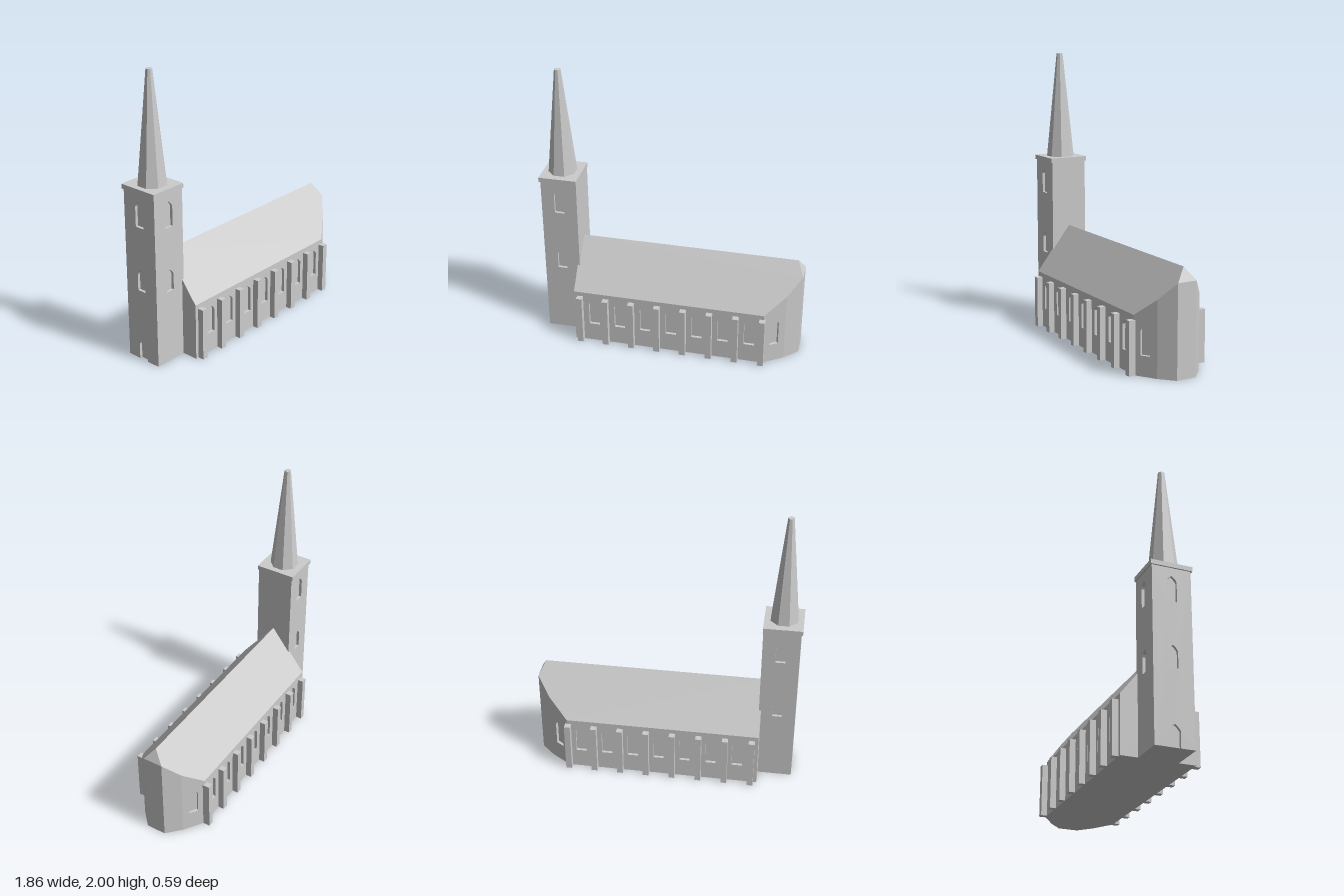
import * as THREE from 'three';
import { toCreasedNormals } from 'three/addons/utils/BufferGeometryUtils.js';

const stone = new THREE.MeshStandardMaterial({ color: 0xcccccc });
stone.name = 'stone';

const RIDGE = 0.73, SLOPE = 0.33 / 0.255, RECESS = 0.02;
const roofHeight = (z) => RIDGE - Math.abs(z) * SLOPE;

function add(parent, name, geometry, x = 0, y = 0, z = 0) {
  const mesh = new THREE.Mesh(geometry, stone);
  mesh.name = name;
  mesh.position.set(x, y, z);
  parent.add(mesh);
  return mesh;
}

// Pointed-arch opening; u is its centre along the wall
function arch({ u, y0, y1, y2, w }) {
  const h = w / 2, s = new THREE.Shape();
  s.moveTo(u - h, y0);
  s.lineTo(u + h, y0);
  s.lineTo(u + h, y1);
  s.quadraticCurveTo(u + h * 0.75, y1 + (y2 - y1) * 0.55, u, y2);
  s.quadraticCurveTo(u - h * 0.75, y1 + (y2 - y1) * 0.55, u - h, y1);
  s.closePath();
  return s;
}

// Wall slab from a to b (plan x, z), thickened inwards, with recessed windows and an optional doorway
function wall(parent, name, a, b, topPoints, windows = [], door = null) {
  const group = new THREE.Group();
  group.name = name;
  group.position.set(a[0], 0, a[1]);
  group.rotation.y = Math.atan2(a[1] - b[1], b[0] - a[0]);
  const length = Math.hypot(b[0] - a[0], b[1] - a[1]);
  const doorway = door ? arch(door).getPoints(3).slice(0, -1) : [];
  // The doorway is a notch in the bottom edge, traced left to right over its arch
  const notch = door ? [doorway[0], ...doorway.slice(1).reverse()] : [];
  const outline = new THREE.Shape([
    new THREE.Vector2(0, 0), ...notch, new THREE.Vector2(length, 0),
    ...topPoints(length).map(([u, y]) => new THREE.Vector2(u, y)),
  ]);
  outline.holes = windows.map(arch);
  const slab = new THREE.ExtrudeGeometry(outline, { depth: RECESS * 1.5, bevelEnabled: false, curveSegments: 3 });
  add(group, 'wallSlab', slab.translate(0, 0, -RECESS * 1.5));
  for (const w of windows) add(group, 'windowPane', new THREE.ShapeGeometry(arch(w), 3), 0, 0, -RECESS);
  if (door) add(group, 'door', new THREE.ShapeGeometry(arch(door), 3), 0, 0, -RECESS);
  parent.add(group);
}

function floor(parent, plan) {
  const shape = new THREE.Shape(plan.map(([x, z]) => new THREE.Vector2(x, z)));
  add(parent, 'floor', new THREE.ShapeGeometry(shape).rotateX(Math.PI / 2));
}

function buildNave() {
  const nave = new THREE.Group();
  nave.name = 'nave';
  const half = [[-0.68, 0.253], [0.69, 0.253], [0.83, 0.16], [0.925, 0.07]];
  const plan = [...half, ...half.map(([x, z]) => [x, -z]).reverse()];
  const sideWindows = Array.from({ length: 7 }, (_, i) => -0.535 + i * 0.1875);
  const lancet = (u, w = 0.075) => ({ u, y0: 0.14, y1: 0.31, y2: 0.345, w });

  // Long walls, faceted apse and west gable
  plan.forEach((a, i) => {
    const b = plan[(i + 1) % plan.length];
    let windows = [], name = 'apseWall';
    if (i === 0) { name = 'frontWall'; windows = sideWindows.map((x) => lancet(x - a[0])); }
    if (i === 6) { name = 'backWall'; windows = sideWindows.map((x) => lancet(a[0] - x)); }
    if (i === 1 || i === 5) windows = [lancet(Math.hypot(b[0] - a[0], b[1] - a[1]) / 2, 0.066)];
    if (i === 7) name = 'gableWall';
    wall(nave, name, a, b, (l) => [
      [l, roofHeight(b[1])], ...(i === 7 ? [[l / 2, RIDGE]] : []), [0, roofHeight(a[1])],
    ], windows);
  });
  floor(nave, plan);

  // Two roof slopes cut to the plan, plus a small hip over the apse
  const slope = [...half.map(([x, z]) => [x, roofHeight(z), z]), [0.88, RIDGE, 0], [-0.68, RIDGE, 0]];
  const mirrored = slope.map(([x, y, z]) => [x, y, -z]).reverse();
  const hip = [slope[3], [0.925, roofHeight(0.07), -0.07], slope[4]];
  const points = [];
  for (const face of [slope, mirrored, hip]) {
    // Fan from the west end of the ridge
    const ring = face === slope ? [face[5], ...face.slice(0, 5)] : face;
    for (let i = 1; i < ring.length - 1; i++) points.push(...ring[0], ...ring[i], ...ring[i + 1]);
  }
  const roof = new THREE.BufferGeometry();
  roof.setAttribute('position', new THREE.Float32BufferAttribute(points, 3));
  roof.computeVertexNormals();
  add(nave, 'roof', roof);

  // Buttresses
  for (const side of [1, -1]) {
    for (let i = 0; i < 8; i++) {
      add(nave, 'buttress', new THREE.BoxGeometry(0.042, 0.37, 0.06), -0.635 + i * 0.188, 0.185, side * 0.265);
    }
  }
  return nave;
}

function buildTower() {
  const tower = new THREE.Group();
  tower.name = 'tower';
  const plan = [[-0.92, 0.135], [-0.665, 0.135], [-0.665, -0.135], [-0.92, -0.135]];
  const names = ['towerFront', 'towerEast', 'towerBack', 'towerWest'];
  plan.forEach((a, i) => {
    const b = plan[(i + 1) % 4];
    const u = Math.hypot(b[0] - a[0], b[1] - a[1]) / 2;
    const windows = i === 1 ? [] : [
      { u, y0: 0.515, y1: 0.63, y2: 0.67, w: 0.066 },
      { u, y0: 0.97, y1: 1.11, y2: 1.15, w: 0.07 },
    ];
    const door = i === 3 ? { u, y0: 0, y1: 0.11, y2: 0.15, w: 0.075 } : null;
    wall(tower, names[i], a, b, (l) => [[l, 1.22], [0, 1.22]], windows, door);
  });
  floor(tower, plan);

  // Cornice and octagonal spire
  add(tower, 'cornice', new THREE.BoxGeometry(0.268, 0.032, 0.288), -0.796, 1.224, 0);
  const spire = new THREE.CylinderGeometry(0.022, 0.1, 0.76, 8).rotateY(Math.PI / 8);
  add(tower, 'spire', toCreasedNormals(spire, 0.3), -0.797, 1.62, 0);
  return tower;
}

export function createModel() {
  const church = new THREE.Group();
  church.name = 'church';
  church.add(buildNave(), buildTower());
  return church;
}
